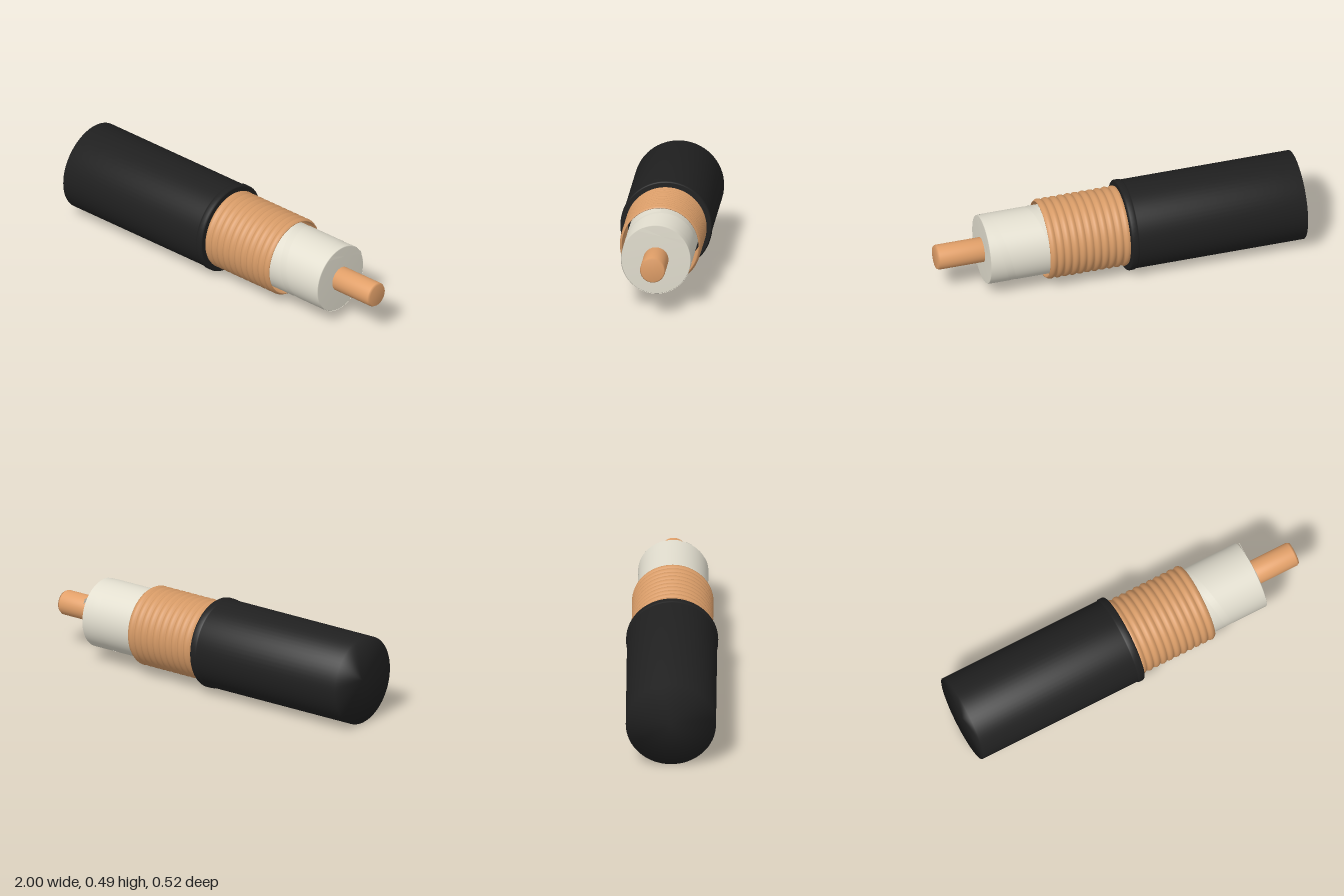
import * as THREE from 'three';

const jacketMat = new THREE.MeshStandardMaterial({ color: 0x202020 });
const copperMat = new THREE.MeshStandardMaterial({ color: 0xe2a069 });
const braidMat = new THREE.MeshStandardMaterial({ color: 0xd69a66, side: THREE.DoubleSide });
const whiteMat = new THREE.MeshStandardMaterial({ color: 0xe2decf });
const foilMat = new THREE.MeshStandardMaterial({ color: 0xe2decf, side: THREE.DoubleSide });

// Turned part along the x axis; profile is [radius, x] pairs
function turned(name, profile, material, segments = 64) {
  const geo = new THREE.LatheGeometry(profile.map(([r, x]) => new THREE.Vector2(r, x)), segments);
  geo.rotateZ(-Math.PI / 2);
  const mesh = new THREE.Mesh(geo, material);
  mesh.name = name;
  return mesh;
}

// Thin tape wound round the insulation, trimmed to the exposed length
function foilWrap() {
  const radius = 0.1862, pitch = 0.265, steps = 240, turns = 3;
  const pos = [], idx = [];
  const trim = (x) => Math.min(0.738, Math.max(0.3, x));
  for (let i = 0; i <= steps; i++) {
    const a = (i / steps) * turns * Math.PI * 2;
    const x = 0.155 + pitch * a / (Math.PI * 2);
    for (const edge of [0.04, pitch]) {
      pos.push(trim(x + edge), radius * Math.cos(a), radius * Math.sin(a));
    }
    if (i < steps) {
      const k = i * 2;
      idx.push(k, k + 2, k + 1, k + 1, k + 2, k + 3);
    }
  }
  const geo = new THREE.BufferGeometry();
  geo.setAttribute('position', new THREE.Float32BufferAttribute(pos, 3));
  // Radial normals keep the tape smooth even where it is trimmed
  const normals = pos.map((v, i) => (i % 3 === 0 ? 0 : v / radius));
  geo.setAttribute('normal', new THREE.Float32BufferAttribute(normals, 3));
  geo.setIndex(idx);
  const mesh = new THREE.Mesh(geo, foilMat);
  mesh.name = 'foilWrap';
  return mesh;
}

// Loose twisted end of the tape, crossing the top of the insulation face
function foilTail() {
  const geo = new THREE.BufferGeometry();
  geo.setAttribute('position', new THREE.Float32BufferAttribute([
    0.742, 0.156, 0.100, 0.742, 0.171, 0.070, 0.747, 0.128, -0.030,
    0.747, 0.128, -0.030, 0.752, 0.111, -0.148, 0.752, 0.086, -0.158,
  ], 3));
  geo.computeVertexNormals();
  const mesh = new THREE.Mesh(geo, foilMat);
  mesh.name = 'foilTail';
  return mesh;
}

export function createModel() {
  const group = new THREE.Group();
  group.name = 'strippedCable';
  const cable = new THREE.Group();
  cable.name = 'cable';
  cable.position.set(0, 0.244, 0.0125);
  cable.rotation.y = -0.035;
  group.add(cable);

  // Outer jacket with a raised lip at the cut
  cable.add(turned('jacket', [
    [0, -0.99], [0.239, -0.99], [0.239, -0.065], [0.2395, -0.06],
    [0.244, -0.054], [0.244, -0.03], [0.24, -0.024], [0.236, -0.022], [0, -0.022],
  ], jacketMat));

  // Ribbed copper shield, an open thin tube
  const ribs = 11, perRib = 8, x0 = -0.03, x1 = 0.418;
  const profile = [];
  for (let i = 0; i <= ribs * perRib; i++) {
    const t = i / (ribs * perRib);
    const wave = Math.abs(Math.sin(Math.PI * t * ribs));
    profile.push([0.206 + 0.010 * wave, x0 + (x1 - x0) * t]);
  }
  profile.push([0.203, x1], [0.203, x0]);
  cable.add(turned('shield', profile, braidMat));

  // Pale insulation with its foil tape
  cable.add(turned('insulation', [
    [0, -0.05], [0.185, -0.05], [0.185, 0.735], [0.182, 0.74], [0, 0.74],
  ], whiteMat));
  cable.add(foilWrap(), foilTail());

  // Centre conductor with a slightly bevelled tip
  cable.add(turned('conductor', [
    [0, 0.70], [0.067, 0.70], [0.067, 0.985], [0.06, 0.997], [0, 0.997],
  ], copperMat, 48));

  return group;
}
